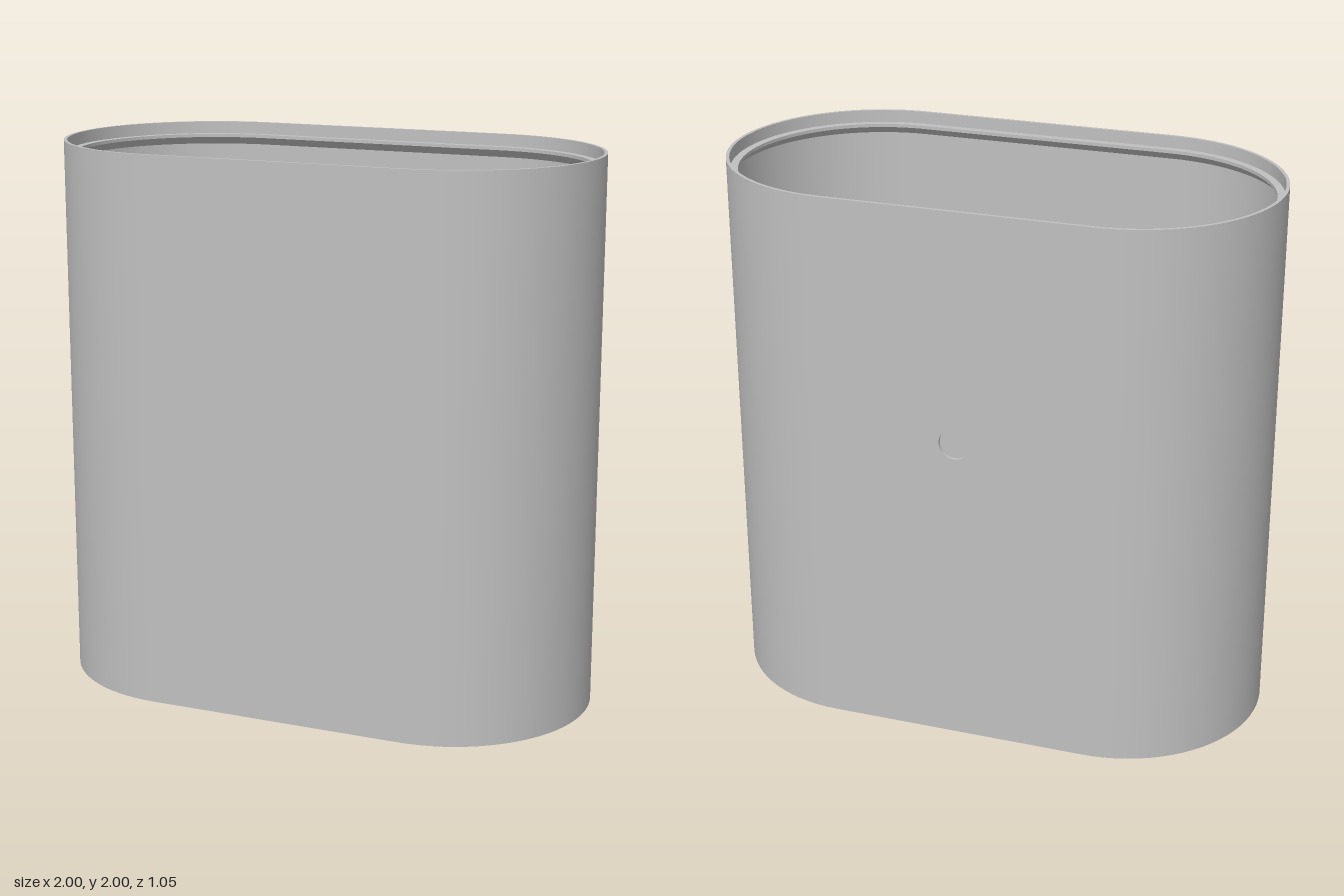
import * as THREE from 'three';

const HALF = 0.475, OUTER = 0.525, WALL = 0.012, INNER = OUTER - WALL, HEIGHT = 2, STEPS = 40;

// Points and outward directions round the two rounded ends; the back flat lies between last and first
function outline(r) {
  const pts = [];
  for (const side of [1, -1]) {
    for (let i = 0; i <= STEPS; i++) {
      const t = (side > 0 ? -Math.PI / 2 : Math.PI / 2) + (Math.PI * i) / STEPS;
      const c = Math.cos(t), s = Math.sin(t);
      pts.push({ x: side * HALF + r * c, z: r * s, nx: c, nz: s });
    }
  }
  return pts;
}

// Sweeps a profile of [radius, y] round the outline, smooth along it and sharp between profile steps
function sweep(profile, closed) {
  const pos = [], nor = [], idx = [];
  for (let k = 0; k + 1 < profile.length; k++) {
    const [r0, y0] = profile[k], [r1, y1] = profile[k + 1];
    const len = Math.hypot(r1 - r0, y1 - y0);
    const out = (y1 - y0) / len, up = (r0 - r1) / len;
    const low = outline(r0), high = outline(r1), n = low.length, base = pos.length / 3;
    for (let i = 0; i < n; i++) {
      pos.push(low[i].x, y0, low[i].z, high[i].x, y1, high[i].z);
      for (let j = 0; j < 2; j++) nor.push(low[i].nx * out, up, low[i].nz * out);
    }
    for (let i = 0; i < (closed ? n : n - 1); i++) {
      const a = base + 2 * i, b = base + 2 * ((i + 1) % n);
      idx.push(a, a + 1, b, b, a + 1, b + 1);
    }
  }
  const g = new THREE.BufferGeometry();
  g.setAttribute('position', new THREE.Float32BufferAttribute(pos, 3));
  g.setAttribute('normal', new THREE.Float32BufferAttribute(nor, 3));
  g.setIndex(idx);
  return g;
}

function plate(r, y, faceUp) {
  const shape = new THREE.Shape(outline(r).map(p => new THREE.Vector2(p.x, p.z)));
  return new THREE.ShapeGeometry(shape).rotateX(faceUp ? -Math.PI / 2 : Math.PI / 2).translate(0, y, 0);
}

export function createModel() {
  const group = new THREE.Group();
  const grey = new THREE.MeshStandardMaterial({ color: 0xc0c0c0 });
  grey.name = 'grey';
  const add = (name, geometry) => {
    const mesh = new THREE.Mesh(geometry, grey);
    mesh.name = name;
    group.add(mesh);
  };

  // Thin wall round the ends and the front
  add('wall', sweep([[OUTER, 0], [OUTER, HEIGHT], [INNER, HEIGHT], [INNER, WALL]], false));

  // Back wall with a teardrop hole
  const back = new THREE.Shape();
  back.moveTo(-HALF, 0).lineTo(HALF, 0).lineTo(HALF, HEIGHT).lineTo(-HALF, HEIGHT).closePath();
  const holeY = 1.16, holeR = 0.056;
  const hole = new THREE.Path();
  hole.moveTo(0, holeY + holeR * Math.SQRT2);
  hole.absarc(0, holeY, holeR, Math.PI * 0.75, Math.PI * 2.25, false);
  hole.closePath();
  back.holes.push(hole);
  add('backWall', new THREE.ExtrudeGeometry(back, { depth: WALL, bevelEnabled: false, curveSegments: 32 })
    .translate(0, 0, -OUTER));

  // Inner ledge for a lid, with a sloping underside
  add('lidLedge', sweep([[INNER, 1.955], [0.485, 1.955], [0.485, 1.943], [INNER, 1.915]], true));

  // Floor
  add('floorTop', plate(INNER, WALL, true));
  add('floorUnderside', plate(OUTER, 0, false));
  return group;
}
